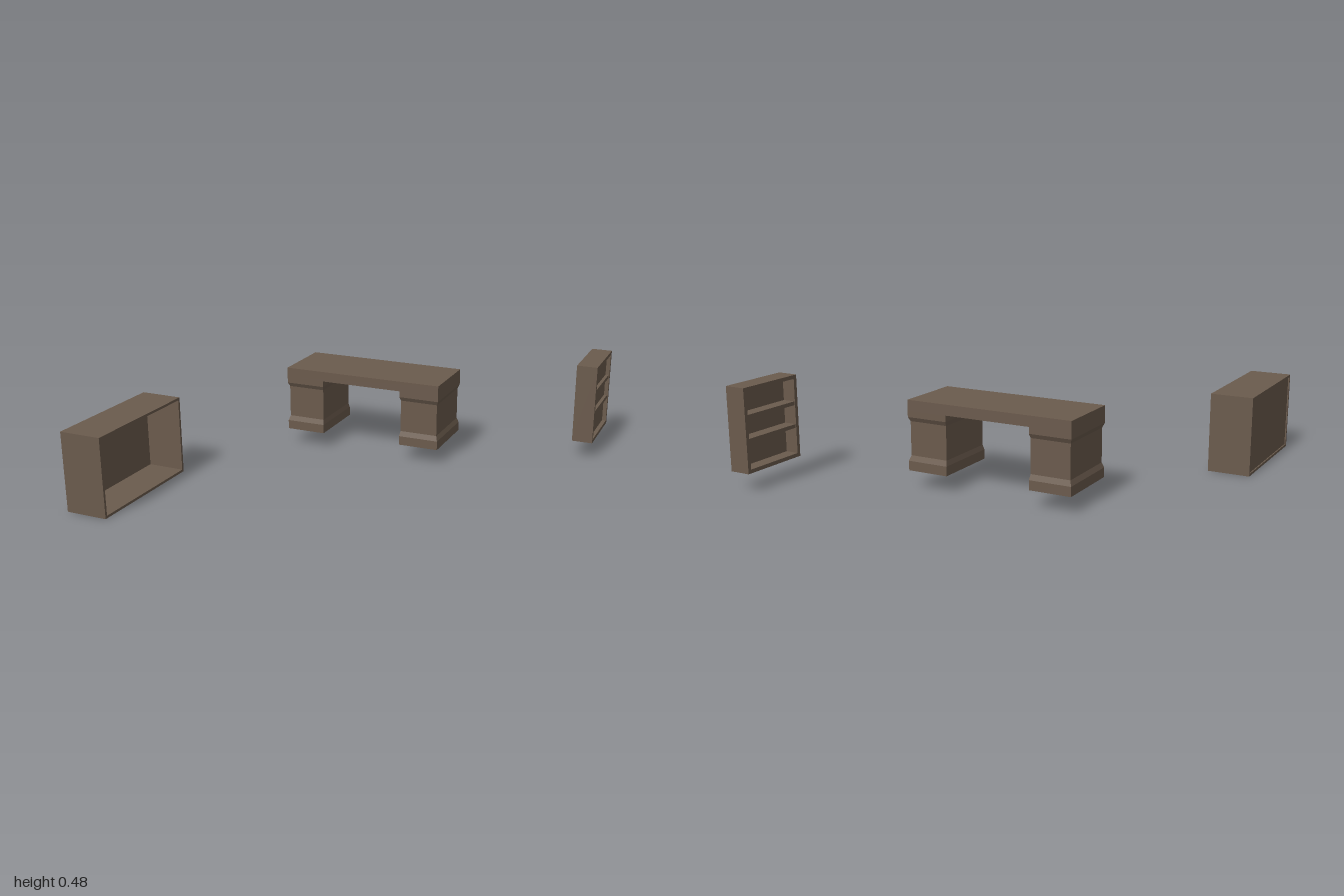
import * as THREE from 'three';

const wood = new THREE.MeshStandardMaterial({ color: 0x6b5b4d, roughness: 0.8 });

// Box given by its minimum and maximum corners
function box(name, [x0, y0, z0], [x1, y1, z1]) {
  const mesh = new THREE.Mesh(new THREE.BoxGeometry(x1 - x0, y1 - y0, z1 - z0), wood);
  mesh.position.set((x0 + x1) / 2, (y0 + y1) / 2, (z0 + z1) / 2);
  mesh.name = name;
  return mesh;
}

// Solid stacked from rectangles [y, x0, x1, z0, z1], listed bottom to top
function stack(name, levels) {
  const pos = [];
  const ring = ([y, x0, x1, z0, z1]) => [[x0, y, z1], [x1, y, z1], [x1, y, z0], [x0, y, z0]];
  const quad = (a, b, c, d) => pos.push(...a, ...b, ...c, ...a, ...c, ...d);
  const rings = levels.map(ring);
  for (let i = 0; i + 1 < rings.length; i++) {
    for (let k = 0; k < 4; k++) {
      const n = (k + 1) % 4;
      quad(rings[i][k], rings[i][n], rings[i + 1][n], rings[i + 1][k]);
    }
  }
  const [a, b, c, d] = rings[0];
  quad(d, c, b, a);
  quad(...rings[rings.length - 1]);
  const geometry = new THREE.BufferGeometry();
  geometry.setAttribute('position', new THREE.Float32BufferAttribute(pos, 3));
  geometry.computeVertexNormals();
  const mesh = new THREE.Mesh(geometry, wood);
  mesh.name = name;
  return mesh;
}

// Four walls around an opening that runs along x
function frame(x0, x1, y0, y1, z0, z1, t) {
  return [
    box('frameBottom', [x0, y0, z0], [x1, y0 + t, z1]),
    box('frameTop', [x0, y1 - t, z0], [x1, y1, z1]),
    box('frameBackSide', [x0, y0 + t, z0], [x1, y1 - t, z0 + t]),
    box('frameFrontSide', [x0, y0 + t, z1 - t], [x1, y1 - t, z1]),
  ];
}

function createDesk() {
  const desk = new THREE.Group();
  desk.name = 'desk';
  const cx = -0.098, z0 = -0.56, z1 = -0.23, half = 0.412;
  desk.add(box('deskTop', [cx - half, 0.36, z0], [cx + half, 0.41, z1]));
  // Pedestals: wide plinth, slimmer body, wide collar under the top
  const profile = [[0.08, 0], [0.125, 0], [0.15, 0.01], [0.31, 0.01], [0.33, 0], [0.36, 0]];
  for (const side of [-1, 1]) {
    const levels = profile.map(([y, inset]) => {
      const outer = cx + side * (half - inset * 0.8);
      const inner = cx + side * (0.21 + inset * 0.4);
      return [y, Math.min(outer, inner), Math.max(outer, inner), z0 + inset, z1 - inset];
    });
    desk.add(stack(side < 0 ? 'rightPedestal' : 'leftPedestal', levels));
  }
  return desk;
}

function createShelf() {
  const shelf = new THREE.Group();
  shelf.name = 'bookshelf';
  const x0 = 0.898, x1 = 1, z0 = -0.975, z1 = -0.625, y0 = 0.085, y1 = 0.48, t = 0.018;
  shelf.add(...frame(x0, x1, y0, y1, z0, z1, t));
  shelf.add(box('dividingPanel', [0.965, y0 + t, z0 + t], [0.98, y1 - t, z1 - t]));
  for (const y of [0.235, 0.345]) {
    shelf.add(box('shelfBoard', [x0 + 0.004, y - 0.009, z0 + t], [x1 - 0.004, y + 0.009, z1 - t]));
  }
  return shelf;
}

function createCabinet() {
  const cabinet = new THREE.Group();
  cabinet.name = 'openCabinet';
  const x0 = -1, x1 = -0.795, z0 = 0.345, z1 = 0.975, y0 = 0, y1 = 0.38, t = 0.012;
  cabinet.add(...frame(x0, x1, y0, y1, z0, z1, t));
  cabinet.add(box('backPanel', [x0 + 0.006, y0 + t, z0 + t], [x0 + 0.02, y1 - t, z1 - t]));
  return cabinet;
}

export function createModel() {
  const model = new THREE.Group();
  model.name = 'officeFurniture';
  model.add(createDesk(), createShelf(), createCabinet());
  return model;
}
